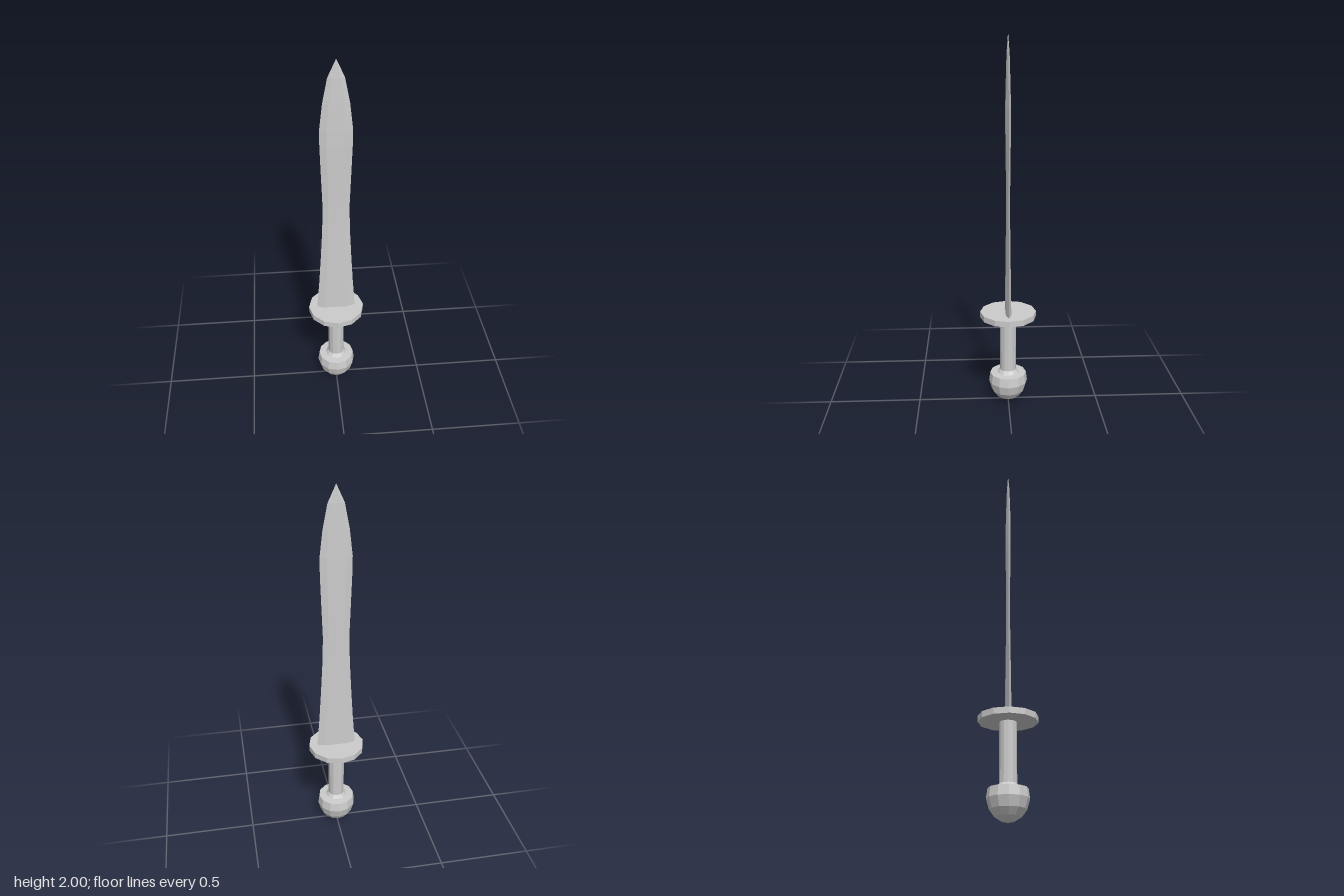
import * as THREE from 'three';

const SIDES = 12;
const material = new THREE.MeshStandardMaterial({ color: 0xcccccc, flatShading: true, side: THREE.DoubleSide });

function addPart(group, name, geometry, y = 0) {
  const mesh = new THREE.Mesh(geometry, material);
  mesh.name = name;
  mesh.position.y = y;
  group.add(mesh);
}

// Loft of six-sided sections: [height, half width, half thickness]
function bladeGeometry(sections) {
  const positions = [];
  const index = [];
  const flat = 0.58; // share of the width taken by the flat centre
  for (const [y, w, t] of sections) {
    positions.push(w, y, 0, w * flat, y, t, -w * flat, y, t, -w, y, 0, -w * flat, y, -t, w * flat, y, -t);
  }
  for (let r = 0; r < sections.length - 1; r++) {
    for (let i = 0; i < 6; i++) {
      const a = r * 6 + i;
      const b = r * 6 + ((i + 1) % 6);
      index.push(a, a + 6, b, b, a + 6, b + 6);
    }
  }
  // bottom cap
  for (let i = 1; i < 5; i++) index.push(0, i, i + 1);
  const geometry = new THREE.BufferGeometry();
  geometry.setAttribute('position', new THREE.Float32BufferAttribute(positions, 3));
  geometry.setIndex(index);
  geometry.computeVertexNormals();
  return geometry;
}

export function createModel() {
  const sword = new THREE.Group();
  sword.name = 'sword';

  // Leaf-shaped blade, waisted in the middle
  addPart(sword, 'blade', bladeGeometry([
    [0.52, 0.108, 0.015],
    [0.7, 0.094, 0.013],
    [0.88, 0.083, 0.011],
    [1.05, 0.074, 0.009],
    [1.2, 0.07, 0.009],
    [1.4, 0.077, 0.011],
    [1.55, 0.082, 0.013],
    [1.64, 0.083, 0.013],
    [1.78, 0.067, 0.01],
    [1.91, 0.042, 0.007],
    [2.0, 0.001, 0.001],
  ]));

  // Round guard disc and grip
  addPart(sword, 'guard', new THREE.CylinderGeometry(0.154, 0.154, 0.032, SIDES), 0.514);
  addPart(sword, 'grip', new THREE.CylinderGeometry(0.045, 0.045, 0.34, SIDES, 1, true), 0.34);

  // Rounded pommel with a flat shoulder flaring into the grip
  const profile = [
    [0, 0], [0.034, 0.008], [0.066, 0.028], [0.092, 0.063], [0.107, 0.115],
    [0.1, 0.165], [0.06, 0.168], [0.045, 0.187],
  ].map(([r, y]) => new THREE.Vector2(r, y));
  addPart(sword, 'pommel', new THREE.LatheGeometry(profile, SIDES));

  return sword;
}
